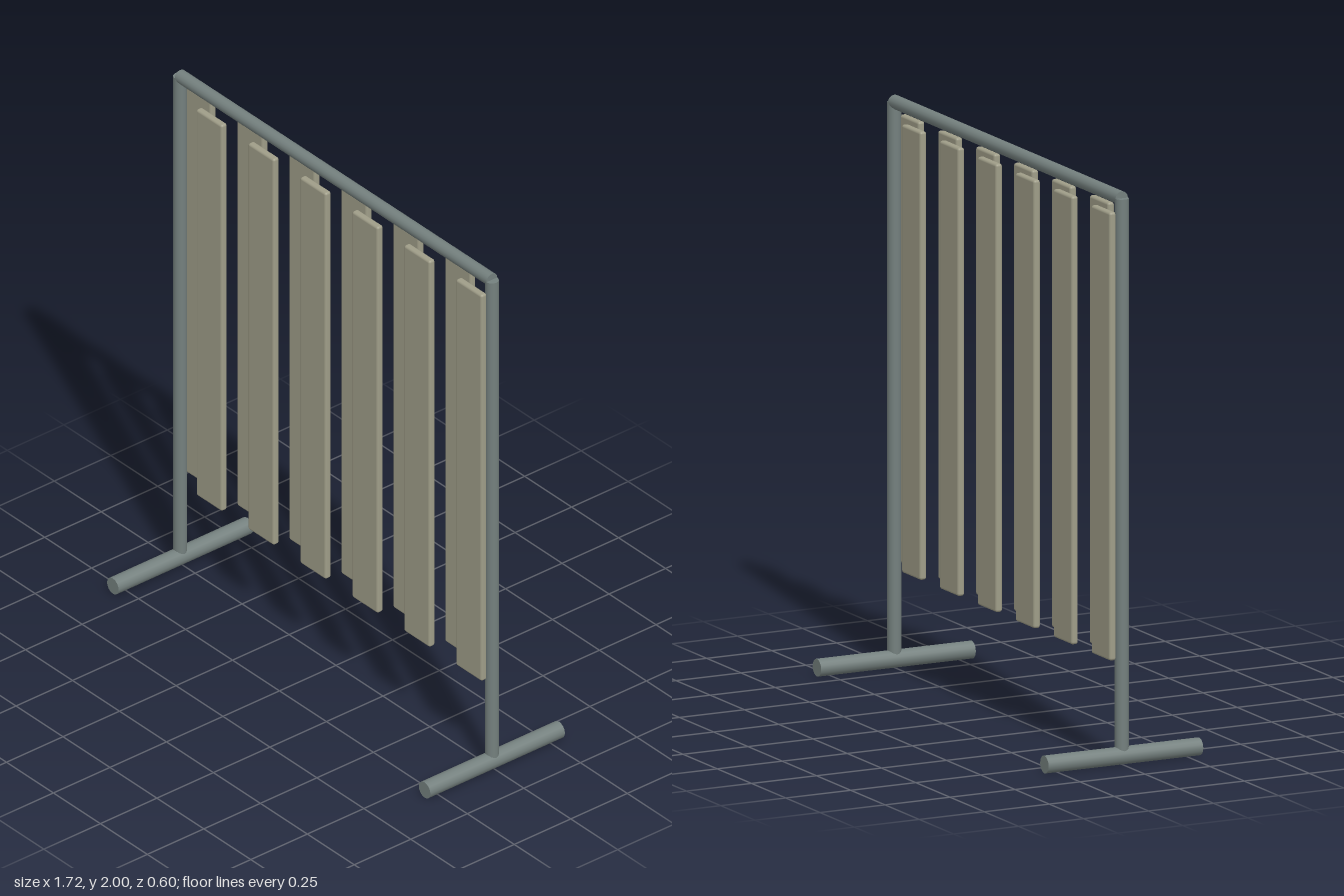
import * as THREE from 'three';
import { RoundedBoxGeometry } from 'three/addons/geometries/RoundedBoxGeometry.js';

export function createModel() {
  const model = new THREE.Group();
  model.name = 'slattedScreen';
  const metal = new THREE.MeshStandardMaterial({ color: 0x74807e });
  const slatPaint = new THREE.MeshStandardMaterial({ color: 0x9f9d88 });
  const halfWidth = 0.83;

  // Round bar of a given length, centred on its own axis (y until rotated)
  function bar(name, radius, length, x, y, z) {
    const mesh = new THREE.Mesh(new THREE.CylinderGeometry(radius, radius, length, 16), metal);
    mesh.name = name;
    mesh.position.set(x, y, z);
    model.add(mesh);
    return mesh;
  }

  // Top rail resting across the posts
  bar('topRail', 0.024, 2 * halfWidth, 0, 1.976, 0).rotation.z = Math.PI / 2;

  // Post and floor foot at each end
  for (const [side, s] of [['left', 1], ['right', -1]]) {
    bar(side + 'Post', 0.024, 1.944, s * halfWidth, 1.004, 0);
    bar(side + 'Foot', 0.031, 0.595, s * halfWidth, 0.031, 0).rotation.x = Math.PI / 2;
  }

  // Upright slats, alternating behind and in front of the frame's centre line
  const count = 12;
  const pitch = (2 * halfWidth) / count;
  const slatGeometry = new RoundedBoxGeometry(pitch, 1.565, 0.026, 3, 0.009);
  for (let i = 0; i < count; i++) {
    const slat = new THREE.Mesh(slatGeometry, slatPaint);
    slat.name = 'slat' + (i + 1);
    slat.position.set(-halfWidth + (i + 0.5) * pitch, 1.147, i % 2 ? 0.033 : -0.033);
    model.add(slat);
  }

  return model;
}
